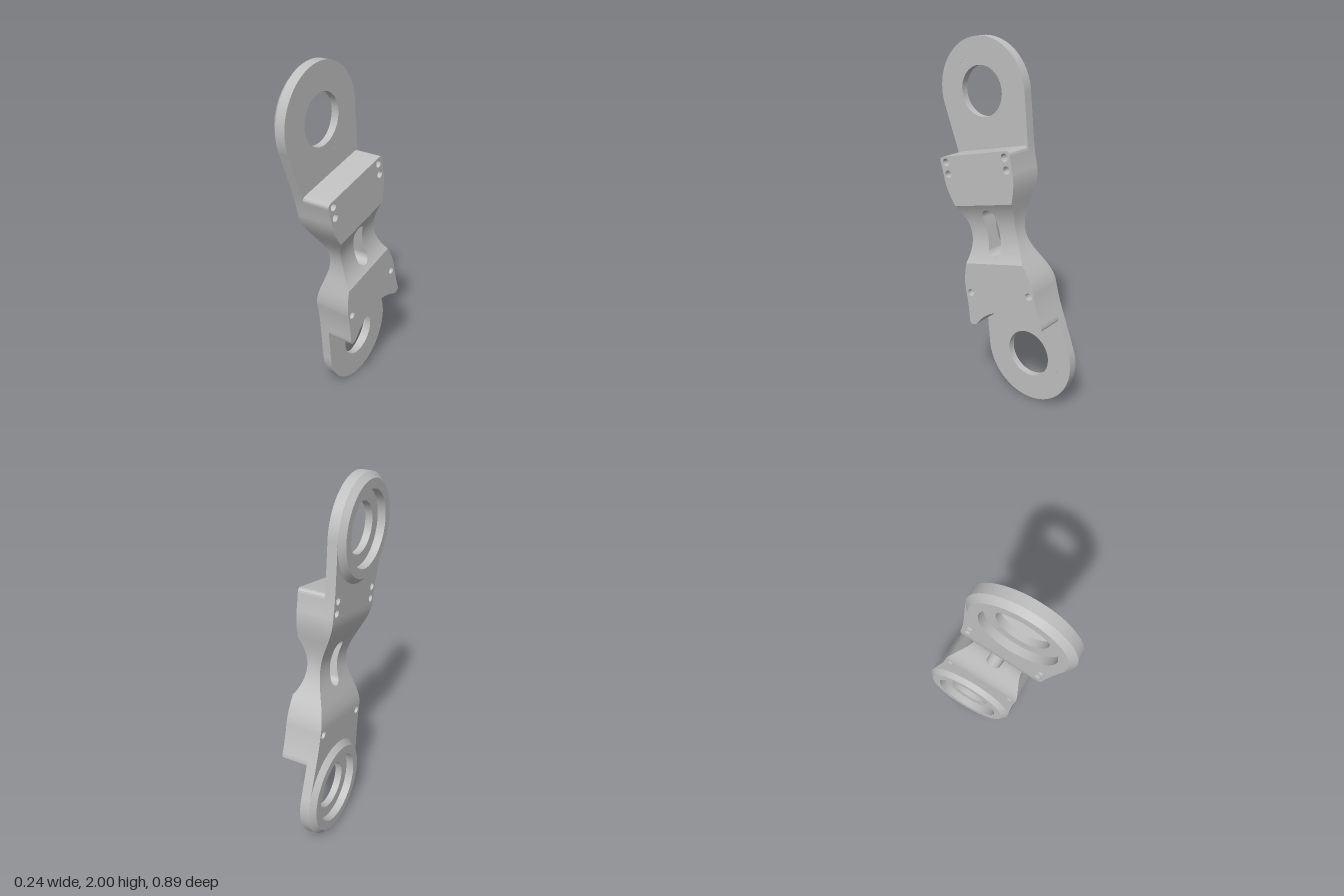
import * as THREE from 'three';
import { toCreasedNormals } from 'three/addons/utils/BufferGeometryUtils.js';

const BACK = -0.09, STEP = -0.035, FRONT = 0.118; // depth levels
const EYE_V = 0.738, EYE_R = 0.281;               // end eyes, measured along the arm
const WAIST = 0.305;                              // half length of the curved middle

// half width of the arm at distance v from its middle
function halfWidth(v) {
  v = Math.abs(v);
  if (v < 0.32) return 0.155 + 0.083 * (0.5 - 0.5 * Math.cos(Math.PI * v / 0.32));
  if (v < 0.46) return 0.238 + 0.464 * (v - 0.32) ** 2;
  return 0.247 + 0.13 * (v - 0.46);
}

// shape with symmetric sides up to v = top; cap(shape) draws the end from right to left
function armShape(top, cap) {
  const n = 12, v = i => WAIST + (top - WAIST) * i / n;
  const s = new THREE.Shape();
  s.moveTo(halfWidth(WAIST), WAIST);
  for (let i = 1; i <= n; i++) s.lineTo(halfWidth(v(i)), v(i));
  cap(s);
  for (let i = n; i >= 0; i--) s.lineTo(-halfWidth(v(i)), v(i));
  return s;
}

function addHoles(shape, list) {
  for (const [u, v, r] of list) {
    shape.holes.push(new THREE.Path().absarc(u, v, r, 0, Math.PI * 2, true));
  }
  return shape;
}

function extrude(shape, z0, z1) {
  const g = new THREE.ExtrudeGeometry(shape, { depth: z1 - z0, bevelEnabled: false, curveSegments: 32 });
  g.translate(0, 0, z0);
  return toCreasedNormals(g, 0.45);
}

// curved middle with a slot, lofted row by row along the arm
function waistGeometry() {
  const rows = [-0.162, 0.162];
  for (let i = 0; i <= 48; i++) rows.push(WAIST * (i / 24 - 1));
  for (let i = 0; i <= 10; i++) {
    const v = 0.088 + 0.042 * Math.sin(i / 10 * Math.PI / 2);
    rows.push(v, -v);
  }
  rows.sort((a, b) => a - b);
  const R = 0.297;
  const section = v => {
    const a = Math.abs(v), over = Math.max(0, a - 0.088);
    const slot = over < 0.042 ? Math.sqrt(0.042 ** 2 - over ** 2) : 0;
    const front = a < 0.162 ? 0.07 + R - Math.sqrt(R * R - v * v) : FRONT;
    const back = BACK + 0.082 * (0.5 + 0.5 * Math.cos(Math.PI * v / WAIST));
    const w = halfWidth(v);
    return [[slot, v, back], [w, v, back], [w, v, front], [slot, v, front]];
  };
  const pos = [];
  for (let i = 0; i + 1 < rows.length; i++) {
    if (rows[i + 1] - rows[i] < 1e-6) continue;
    const A = section(rows[i]), B = section(rows[i + 1]);
    for (const side of [1, -1]) {
      for (let k = 0; k < 4; k++) {
        if (k === 3 && A[0][0] + B[0][0] < 1e-6) continue; // no slot wall here
        const m = (k + 1) % 4;
        let q = [A[k], B[k], B[m], A[m]];
        if (side < 0) q = q.reverse();
        for (const j of [0, 1, 2, 0, 2, 3]) pos.push(side * q[j][0], q[j][1], q[j][2]);
      }
    }
  }
  const g = new THREE.BufferGeometry();
  g.setAttribute('position', new THREE.Float32BufferAttribute(pos, 3));
  return toCreasedNormals(g, 0.45);
}

export function createModel() {
  const metal = new THREE.MeshStandardMaterial({ color: 0xbfbfbf });
  metal.name = 'light grey metal';
  const model = new THREE.Group();
  model.name = 'linkArm';

  // tilted arm frame: local x across, y along, z through the thickness
  const arm = new THREE.Group();
  arm.name = 'arm';
  arm.rotation.set(0, Math.PI / 2, 0.2234);
  arm.position.y = 1;
  model.add(arm);

  const add = (name, geometry, parent) => {
    const mesh = new THREE.Mesh(geometry, metal);
    mesh.name = name;
    parent.add(mesh);
  };

  add('slottedWaist', waistGeometry(), arm);

  const upperBolts = [[-0.203, 0.403, 0.021], [0.203, 0.403, 0.021], [-0.203, 0.338, 0.021], [0.203, 0.338, 0.021]];
  const lowerBolts = [[-0.203, 0.333, 0.021], [0.203, 0.333, 0.021]];

  // bearing ring: raised chamfered boss with a stepped bore
  const ringProfile = [[0.2, STEP], [0.135, STEP], [0.135, -0.075], [0.2, -0.075], [0.2, -0.12], [0.251, -0.12], [EYE_R, BACK]];
  const ring = toCreasedNormals(
    new THREE.LatheGeometry(ringProfile.map(p => new THREE.Vector2(...p)), 72).rotateX(Math.PI / 2), 0.45);
  ring.translate(0, EYE_V, 0);

  // upper block: straight end with rounded corners
  const upperBlock = armShape(0.41, s => {
    s.quadraticCurveTo(0.243, 0.435, 0.218, 0.435);
    s.lineTo(-0.218, 0.435);
    s.quadraticCurveTo(-0.243, 0.435, -halfWidth(0.41), 0.41);
  });

  // lower block: two rounded horns around a concave arc
  const lowerBlock = armShape(0.505, s => {
    s.quadraticCurveTo(0.252, 0.523, 0.235, 0.523);
    s.quadraticCurveTo(0.215, 0.525, 0.2, 0.514);
    s.absarc(0, EYE_V, 0.3, -0.84, -Math.PI + 0.84, true);
    s.quadraticCurveTo(-0.215, 0.525, -0.235, 0.523);
    s.quadraticCurveTo(-0.252, 0.523, -halfWidth(0.505), 0.505);
  });

  // both ends share the eye plate and ring; the lower end is turned half round
  const ends = [['upper', 0, upperBlock, upperBolts], ['lower', Math.PI, lowerBlock, lowerBolts]];
  for (const [name, turn, block, bolts] of ends) {
    const end = new THREE.Group();
    end.name = name + 'End';
    end.rotation.z = turn;
    const plate = armShape(0.695, s => s.absarc(0, EYE_V, EYE_R, -0.14, Math.PI + 0.14, false));
    add(name + 'EyePlate', extrude(addHoles(plate, [...bolts, [0, EYE_V, 0.2]]), BACK, STEP), end);
    add(name + 'BearingRing', ring, end);
    add(name + 'Block', extrude(addHoles(block, bolts), STEP, FRONT), end);
    arm.add(end);
  }
  return model;
}
